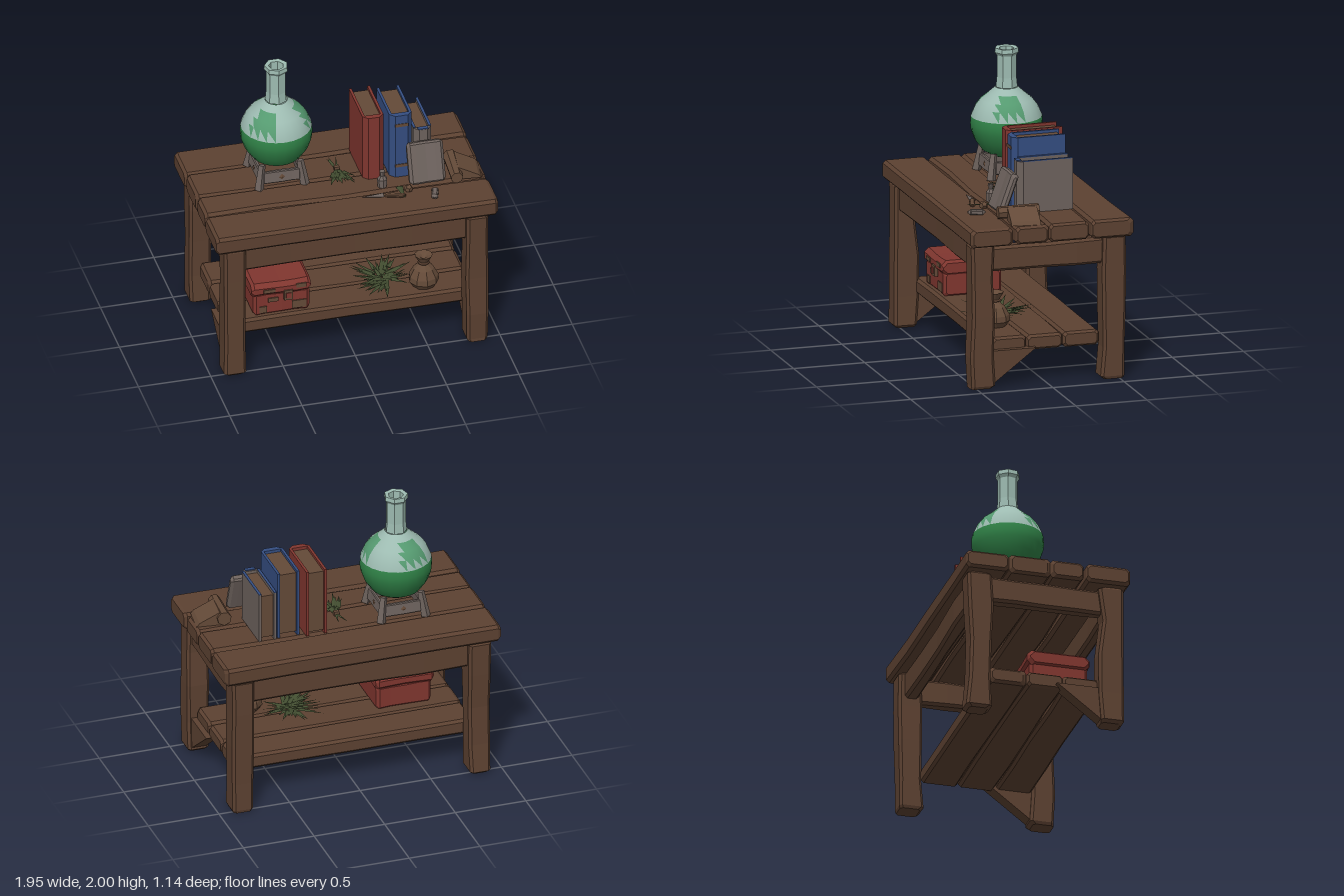
import * as THREE from 'three';
import { mergeGeometries } from 'three/addons/utils/BufferGeometryUtils.js';

const mat = (name, color, side = THREE.FrontSide) => {
  const m = new THREE.MeshStandardMaterial({ color, side });
  m.name = name;
  return m;
};

// Small seeded random, returns -1..1
let seed = 7;
const rnd = () => {
  seed = (seed * 16807) % 2147483647;
  return (seed / 2147483647) * 2 - 1;
};

const flat = (g) => {
  const f = g.index ? g.toNonIndexed() : g;
  f.computeVertexNormals();
  return f;
};

// Skin a list of equal-length rings and close both ends
function loft(rings) {
  const n = rings[0].length, pos = [];
  const tri = (...p) => p.forEach((v) => pos.push(...v));
  for (let i = 0; i < rings.length - 1; i++) {
    for (let j = 0; j < n; j++) {
      const k = (j + 1) % n, A = rings[i], B = rings[i + 1];
      tri(A[j], A[k], B[k]);
      tri(A[j], B[k], B[j]);
    }
  }
  const last = rings[rings.length - 1];
  for (let j = 1; j < n - 1; j++) {
    tri(rings[0][0], rings[0][j + 1], rings[0][j]);
    tri(last[0], last[j], last[j + 1]);
  }
  const g = new THREE.BufferGeometry();
  g.setAttribute('position', new THREE.Float32BufferAttribute(pos, 3));
  return flat(g);
}

// Rough hewn beam along x with chamfered edges and uneven faces
function beam(len, h, d, rough = 0.006, c = 0.018) {
  const stations = [-0.5, -0.5 + 0.02 / len, -0.28, 0, 0.25, 0.5 - 0.02 / len, 0.5];
  return loft(stations.map((t, i) => {
    const s = i === 0 || i === 6 ? 0.015 : 0, y = h / 2 - s + rough * 0.5 * rnd(), z = d / 2 - s + rough * rnd();
    const shift = rough * rnd();
    return [[y, -z + c], [y, z - c], [y - c, z], [c - y, z], [-y, z - c], [-y, c - z], [c - y, -z], [y - c, -z]]
      .map(([a, b]) => [t * len, a, b + shift]);
  }));
}

export function createModel() {
  seed = 7;
  const root = new THREE.Group();
  const wood = mat('dark wood', 0x5c4131), red = mat('worn red', 0x80362f);
  const blue = mat('faded blue', 0x344d80), grey = mat('dusty grey', 0x6d625d);
  const glass = mat('pale glass', 0x9dbbb1, THREE.DoubleSide), liquid = mat('green liquid', 0x2f8046, THREE.DoubleSide);
  const tint = mat('tinted glass', 0x559a70, THREE.DoubleSide), leaf = mat('dried herb', 0x424d30);
  const brown = mat('old leather', 0x644a38);

  const add = (name, geo, material, x = 0, y = 0, z = 0, rx = 0, ry = 0, rz = 0, parent = root) => {
    const m = new THREE.Mesh(geo, material);
    m.name = name;
    m.position.set(x, y, z);
    m.rotation.set(rx, ry, rz);
    parent.add(m);
    return m;
  };
  const box = (name, w, h, d, material, x, y, z, parent = root) =>
    add(name, new THREE.BoxGeometry(w, h, d), material, x, y, z, 0, 0, 0, parent);

  // Table top planks: [front-to-back centre, depth, length]
  [[-0.425, 0.29, 1.95], [-0.132, 0.285, 1.94], [0.132, 0.235, 1.94], [0.412, 0.3, 1.95]].forEach(([z, d, l]) =>
    add('topPlank', beam(l, 0.125, d, 0.007, 0.02), wood, 0, 1.063, z));

  // Legs, with a gusset behind each front leg
  for (const sx of [-1, 1]) {
    for (const sz of [-1, 1]) {
      add('leg', beam(1, 0.15, 0.16, 0.009), wood, sx * 0.838, 0.505, sz * 0.46, 0, 0, Math.PI / 2);
    }
    const tri = new THREE.Shape([[-0.4, 0.02], [-0.4, 0.26], [-0.08, 0.26]].map((p) => new THREE.Vector2(...p)));
    add('gusset', new THREE.ExtrudeGeometry(tri, { depth: 0.1, bevelEnabled: false }), wood,
      sx * 0.838 - 0.05, 0, 0, 0, Math.PI / 2);
    add('sideRail', beam(0.8, 0.175, 0.09), wood, sx * 0.838, 0.893, 0, 0, Math.PI / 2);
  }
  for (const z of [-0.46, 0.46]) add('longRail', beam(1.58, 0.19, 0.09), wood, 0, 0.905, z);

  // Lower shelf planks
  [-0.25, 0.005, 0.26].forEach((z) => add('shelfPlank', beam(1.7, 0.105, 0.25, 0.005), wood, 0, 0.285, z));

  // Flask: one lathe, faces coloured by height and by angle
  const flask = new THREE.Group();
  flask.name = 'flask';
  flask.position.set(-0.385, 0, -0.12);
  root.add(flask);
  const profile = [[0.001, 1.255], [0.1, 1.262], [0.165, 1.3], [0.215, 1.37], [0.24, 1.44], [0.243, 1.48], [0.24, 1.53],
    [0.21, 1.6], [0.175, 1.645], [0.12, 1.69], [0.075, 1.73], [0.068, 1.8], [0.068, 1.95], [0.083, 1.97], [0.08, 2],
    [0.052, 1.995], [0.05, 1.93], [0.045, 1.72]].map((p) => new THREE.Vector2(...p));
  const bowl = new THREE.LatheGeometry(profile.slice(0, 11), 24).toNonIndexed();
  const p = bowl.attributes.position;
  for (let i = 0; i < p.count; i += 3) {
    const mean = (f) => (p[f](i) + p[f](i + 1) + p[f](i + 2)) / 3;
    const y = mean('getY'), a = Math.atan2(mean('getX'), mean('getZ'));
    const patch = Math.cos(3 * (a - 1.4)) > 0.15;
    bowl.addGroup(i, 3, y < 1.53 ? 1 : patch && y > 1.56 && y < 1.69 ? 2 : 0);
  }
  add('flaskBowl', bowl, [glass, liquid, tint], 0, 0, 0, 0, 0, 0, flask);
  add('flaskNeck', flat(new THREE.LatheGeometry(profile.slice(10), 7)), glass, 0, 0, 0, 0, 0, 0, flask);
  add('liquidInNeck', new THREE.CircleGeometry(0.05, 7), liquid, 0, 1.76, 0, -Math.PI / 2, 0, 0, flask);

  // Flask stand: square frame on four splayed posts
  for (let i = 0; i < 4; i++) {
    const side = new THREE.Group();
    side.name = 'standSide';
    side.position.set(-0.385, 0, -0.12);
    side.rotation.y = i * Math.PI / 2;
    root.add(side);
    add('standRail', beam(0.28, 0.085, 0.03, 0.002, 0.006), grey, 0, 1.205, 0.14, -0.12, 0, 0, side);
    const post = new THREE.CylinderGeometry(0.024, 0.032, 0.18, 4);
    add('standPost', flat(post), grey, 0.145, 1.215, 0.145, -0.15, 0, 0.15, side);
    const stud = add('standStud', new THREE.OctahedronGeometry(0.022), brown, 0, 1.205, 0.156, 0, 0, 0, side);
    stud.scale.z = 0.3;
  }

  // Books: two boards, a rounded spine facing front and recessed pages
  function book(name, x, w, h, z0, z1, cover) {
    const g = new THREE.Group();
    g.name = name;
    g.position.set(x, 1.127, 0);
    root.add(g);
    const o = w / 2, t = 0.018, r = 0.035;
    const u = new THREE.Shape([[-o, -z0], [-o, r - z1], [r - o, -z1], [o - r, -z1], [o, r - z1], [o, -z0], [o - t, -z0],
      [o - t, 0.04 - z1], [t - o, 0.04 - z1], [t - o, -z0]].map((q) => new THREE.Vector2(...q)));
    add('cover', new THREE.ExtrudeGeometry(u, { depth: h, bevelEnabled: false }), cover, 0, 0, 0, -Math.PI / 2, 0, 0, g);
    box('pages', w - 2 * t, h - 0.04, z1 - z0 - 0.06, brown, 0, h / 2, (z0 + z1) / 2 - 0.012, g);
    return g;
  }
  book('redBook', 0.235, 0.145, 0.485, -0.29, 0.1, red);
  const blueBook = book('blueBook', 0.42, 0.155, 0.485, -0.25, 0.12, blue);
  for (const y of [0.09, 0.41]) box('spineBand', 0.09, 0.022, 0.006, brown, 0, y, 0.121, blueBook);
  const greyBook = book('greyBook', 0.57, 0.125, 0.352, -0.26, 0.125, grey);
  for (const s of [-1, 1]) box('boardEdge', 0.018, 0.006, 0.35, blue, s * 0.0535, 0.355, -0.085, greyBook);
  box('spineEdge', 0.07, 0.006, 0.03, blue, 0, 0.355, 0.108, greyBook);

  // Slate leaning on the books
  add('slate', beam(0.25, 0.285, 0.055, 0.003, 0.012), grey, 0.565, 1.275, 0.205, -0.35);

  // Firewood: a short log and a split wedge
  add('log', flat(new THREE.CylinderGeometry(0.042, 0.05, 0.28, 7)), brown, 0.765, 1.178, 0.17, Math.PI / 2, 0, 0.08);
  const wedge = new THREE.Shape([[0, 0], [0.17, 0], [0.15, 0.025], [0.02, 0.09], [0, 0.09]].map((q) => new THREE.Vector2(...q)));
  add('splitWood', new THREE.ExtrudeGeometry(wedge, { depth: 0.2, bevelEnabled: false }), brown, 0.79, 1.127, 0.05, 0, -0.12);

  // Small clutter at the front of the top
  const vial = [[0.001, 0], [0.032, 0], [0.035, 0.06], [0.016, 0.085], [0.02, 0.12], [0.001, 0.12]].map((q) => new THREE.Vector2(...q));
  add('vial', flat(new THREE.LatheGeometry(vial, 7)), grey, 0.265, 1.127, 0.2);
  add('knifeHandle', beam(0.16, 0.022, 0.035, 0.002, 0.006), brown, 0.31, 1.138, 0.345, 0, -0.3);
  add('knifeBlade', flat(new THREE.ConeGeometry(0.02, 0.15, 4)), grey, 0.165, 1.136, 0.32, 0, 0, Math.PI / 2 - 0.05);
  add('stone', flat(new THREE.DodecahedronGeometry(0.03)), brown, 0.42, 1.145, 0.3);
  add('peg', beam(0.12, 0.035, 0.04, 0.003, 0.008), grey, 0.575, 1.145, 0.4, 0, 1.3);

  // Herb bundles: flattened spikes fanned about a heading
  const spike = (len, w, yaw, pitch, start) => flat(new THREE.ConeGeometry(w, len, 4))
    .scale(1, 1, 0.3).translate(0, len / 2 + start, 0).rotateX(Math.PI / 2 - pitch).rotateY(yaw);
  function herbs(name, count, spread, len, x, y, z, yaw) {
    const parts = [];
    for (let i = 0; i < count; i++) {
      parts.push(spike(len * (0.75 + 0.25 * rnd()), 0.019, spread * rnd(), 0.15 + 0.15 * rnd(), 0.1 * Math.abs(rnd())));
    }
    for (let i = 0; i < 5; i++) parts.push(spike(len * 0.85, 0.011, Math.PI + 0.25 * rnd(), 0.08 + 0.06 * rnd(), 0));
    return add(name, mergeGeometries(parts), leaf, x, y, z, 0, yaw);
  }
  herbs('herbBunch', 20, 0.6, 0.17, 0.02, 1.132, -0.06, 0);
  box('herbTie', 0.035, 0.03, 0.03, brown, 0.02, 1.14, -0.07);
  herbs('shelfHerbs', 34, 1.2, 0.2, 0.3, 0.35, 0.17, -1.3);
  herbs('shelfHerbsBack', 24, 1.3, 0.17, 0.27, 0.36, 0.14, 2.2);
  add('looseLeaf', spike(0.16, 0.025, 0, 0.05, 0), leaf, 0.37, 1.135, 0.25);

  // Sack with a tied neck
  const sack = [[0.001, 0], [0.075, 0], [0.103, 0.04], [0.1, 0.08], [0.07, 0.135], [0.03, 0.17], [0.035, 0.19], [0.062, 0.235],
    [0.03, 0.225], [0.001, 0.2]].map((q) => new THREE.Vector2(...q));
  add('sack', flat(new THREE.LatheGeometry(sack, 9)), brown, 0.535, 0.337, 0.26);
  add('sackTie', new THREE.TorusGeometry(0.033, 0.009, 5, 9), wood, 0.535, 0.515, 0.26, Math.PI / 2);

  // Chest: body, slightly larger lid, clasp and worn patches
  add('chestBody', beam(0.39, 0.17, 0.4, 0.004, 0.015), red, -0.47, 0.42, 0.155);
  add('chestLid', beam(0.41, 0.1, 0.43, 0.004, 0.03), red, -0.475, 0.532, 0.155);
  box('clasp', 0.06, 0.075, 0.025, brown, -0.43, 0.485, 0.37);
  box('claspPlate', 0.035, 0.04, 0.008, red, -0.43, 0.485, 0.385);
  [[-0.35, 0.39, 0.1, 0.06], [-0.6, 0.38, 0.05, 0.05], [-0.53, 0.45, 0.07, 0.03]].forEach(([x, y, w, h]) =>
    box('wornPatch', w, h, 0.008, brown, x, y, 0.357));
  [[-0.34, 0.545, 0.07, 0.03], [-0.56, 0.53, 0.08, 0.025]].forEach(([x, y, w, h]) =>
    box('wornLidPatch', w, h, 0.008, brown, x, y, 0.372));

  return root;
}
